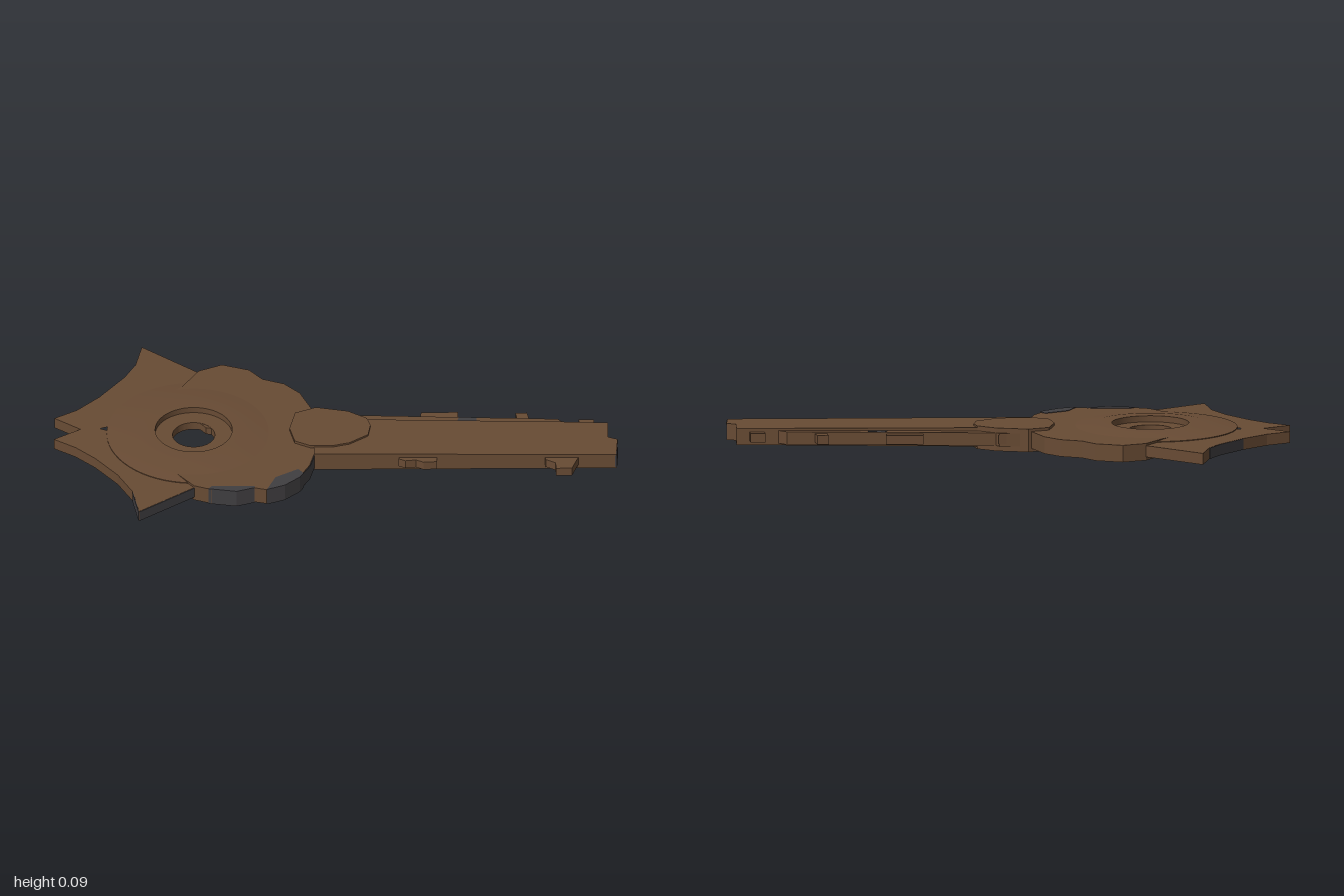
import * as THREE from 'three';
import { toCreasedNormals } from 'three/addons/utils/BufferGeometryUtils.js';

export function createModel() {
  const key = new THREE.Group();
  key.name = 'ornateKey';
  const bronze = new THREE.MeshStandardMaterial({ color: 0x684b34 });
  bronze.name = 'bronze';
  const iron = new THREE.MeshStandardMaterial({ color: 0x403e41 });
  iron.name = 'darkIron';

  const add = (name, geometry, material) => {
    const mesh = new THREE.Mesh(geometry, material);
    mesh.name = name;
    key.add(mesh);
    return mesh;
  };
  // Upright prism over a plan outline of [x, z] points, from y0 to y1
  const toVec = pts => pts.map(([x, z]) => new THREE.Vector2(x, -z));
  const prism = (name, pts, y0, y1, material = bronze, holes = []) => {
    const shape = new THREE.Shape(toVec(pts));
    holes.forEach(h => shape.holes.push(new THREE.Path(toVec(h))));
    const g = new THREE.ExtrudeGeometry(shape, { depth: y1 - y0, bevelEnabled: false });
    g.rotateX(-Math.PI / 2).translate(0, y0, 0);
    return add(name, g, material);
  };
  // Thin facing along an edge, backed into the part by (dx, dz)
  const facing = (name, pts, dx, dz, y0, y1) =>
    prism(name, [...pts, ...pts.map(([x, z]) => [x + dx, z + dz]).reverse()], y0, y1, iron);

  const cx = -0.235, cz = -0.475;
  const circle = (r, n = 32) => Array.from({ length: n }, (_, i) => {
    const a = i / n * Math.PI * 2;
    return [cx + r * Math.cos(a), cz + r * Math.sin(a)];
  });

  // Flat pointed crown around the back of the bow
  prism('crown', [
    [-0.805, -0.33], [-0.71, -0.43], [-0.65, -0.55], [-0.61, -0.69], [-0.595, -0.8],
    [-0.6, -0.905], [-0.48, -0.86], [-0.48, -0.99], [-0.38, -0.95], [-0.24, -0.93],
    [-0.08, -0.93], [0.01, -0.945], [0.13, -1], [0.12, -0.71], [0.1, -0.4],
    [-0.2, -0.15], [-0.54, -0.25],
  ], 0.028, 0.074, bronze, [circle(0.22), [[-0.43, -0.8], [-0.4, -0.78], [-0.42, -0.755]]]);

  // Lobed front half of the bow
  prism('lobedBow', [
    [0.12, -0.71], [0.21, -0.66], [0.245, -0.55], [0.225, -0.47], [0.25, -0.38],
    [0.235, -0.29], [0.17, -0.18], [0.06, -0.05], [-0.08, 0.01], [-0.15, 0.04],
    [-0.24, 0.055], [-0.32, 0.04], [-0.39, 0], [-0.41, -0.05], [-0.47, -0.09],
    [-0.52, -0.18], [-0.54, -0.25], [-0.48, -0.48], [-0.4, -0.65], [-0.235, -0.725], [0, -0.7],
  ], 0.014, 0.083, bronze, [circle(0.2)]);

  // Tapered disc with a recessed ring around the through hole
  const profile = [
    [0.085, 0.035], [0.155, 0.035], [0.155, 0.002], [0.22, 0.002], [0.35, 0.024], [0.35, 0.077],
    [0.22, 0.093], [0.155, 0.093], [0.155, 0.068], [0.085, 0.068], [0.085, 0.035],
  ].map(p => new THREE.Vector2(...p));
  const disc = add('centreDisc', toCreasedNormals(new THREE.LatheGeometry(profile, 64), 0.25), bronze);
  disc.position.set(cx, 0, cz);
  prism('holeNub', [[-0.14, -0.53], [-0.155, -0.5], [-0.165, -0.465], [-0.15, -0.43], [-0.13, -0.42]], 0.036, 0.067);

  // Rounded collar where the shank joins the bow
  prism('collar', [
    [-0.06, -0.1], [-0.05, -0.03], [0, 0.04], [0.06, 0.085], [0.15, 0.112], [0.21, 0.08],
    [0.24, 0.04], [0.235, -0.05], [0.18, -0.17], [0.1, -0.215], [0, -0.17],
  ], 0, 0.094);

  // Shank, thinning toward its tip
  const shank = prism('shank', [
    [-0.08, 0.01], [0.64, 0.99], [0.73, 0.93], [0.72, 0.89], [0.8, 0.83],
    [0.71, 0.7], [0.22, 0.01], [0.1, -0.12],
  ], 0.01, 0.087);
  const pos = shank.geometry.attributes.position;
  for (let i = 0; i < pos.count; i++) {
    const k = 1 - 0.15 * Math.max(0, pos.getZ(i));
    pos.setY(i, 0.0485 + (pos.getY(i) - 0.0485) * k);
  }
  shank.geometry.computeVertexNormals();
  prism('shankSideRail', [[0.18, -0.16], [0.24, -0.07], [0.235, -0.05], [0.71, 0.645], [0.7, 0.72], [0.2, 0.02]], 0.022, 0.074);

  // Teeth along both sides
  const teeth = [
    [[0.4, 0.19], [0.43, 0.17], [0.52, 0.29], [0.46, 0.33]],
    [[0.6, 0.53], [0.65, 0.48], [0.68, 0.515], [0.63, 0.57]],
    [[0.7, 0.77], [0.765, 0.71], [0.8, 0.76], [0.73, 0.82]],
    [[0.14, 0.28], [0.115, 0.29], [0.12, 0.32], [0.15, 0.35], [0.155, 0.385], [0.19, 0.425], [0.24, 0.39]],
    [[0.48, 0.75], [0.46, 0.77], [0.465, 0.815], [0.435, 0.84], [0.475, 0.89], [0.57, 0.86]],
    [[0.19, -0.14], [0.21, -0.11], [0.245, -0.07], [0.2, -0.03]],
  ];
  teeth.forEach((t, i) => prism('tooth' + (i + 1), t, 0.032, 0.068));

  // Dark worn patches and edge facings
  prism('lobePatchSide', [[-0.525, -0.19], [-0.5, -0.19], [-0.4, -0.05], [-0.41, -0.045], [-0.473, -0.087]], 0.012, 0.085, iron);
  prism('lobePatchFront', [[-0.39, 0.003], [-0.3, -0.02], [-0.2, 0.02], [-0.21, 0.054], [-0.24, 0.059], [-0.323, 0.043]], 0.012, 0.085, iron);
  facing('lobeEdge', [[-0.21, 0.052], [-0.15, 0.043], [-0.08, 0.013]], 0, -0.008, 0.018, 0.08);
  facing('tipEdge', [[-0.805, -0.327], [-0.54, -0.247]], 0.002, -0.008, 0.029, 0.073);
  facing('crownEdgeRight', [[-0.807, -0.332], [-0.712, -0.432]], 0.006, 0.004, 0.029, 0.073);
  facing('crownEdgeLeft', [[0.01, -0.948], [-0.08, -0.933], [-0.24, -0.933]], 0, 0.008, 0.029, 0.073);
  facing('shankTipEdge', [[0.641, 0.993], [0.732, 0.932]], -0.004, -0.007, 0.02, 0.077);
  prism('railPatch', [[0.455, 0.33], [0.485, 0.32], [0.525, 0.377], [0.5, 0.395]], 0.068, 0.076, iron);

  return key;
}
